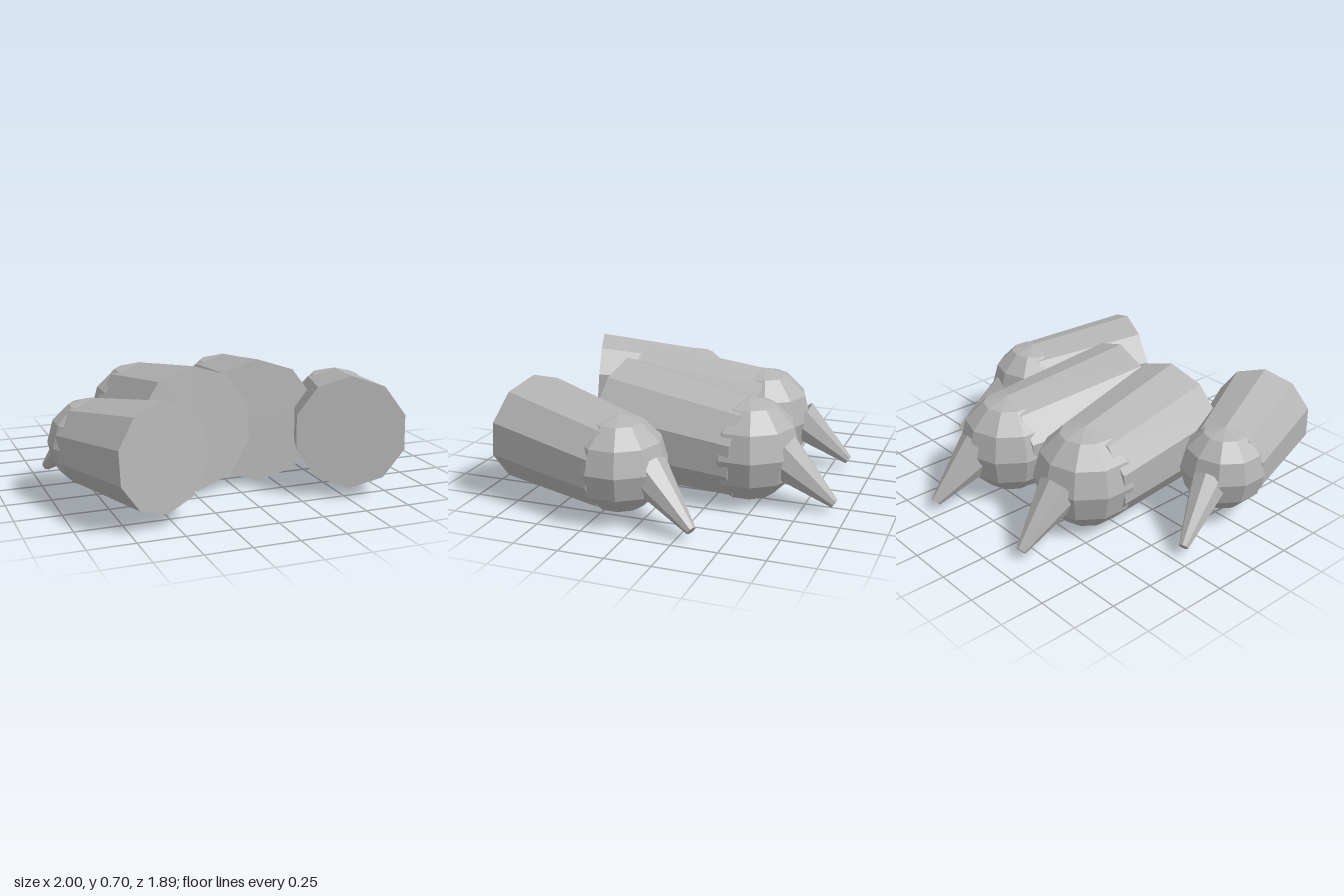
import * as THREE from 'three';

const grey = new THREE.MeshStandardMaterial({ color: 0xb4b4b4, flatShading: true });
grey.name = 'grey';

// Tapered prism running from point a to point b, with a corner pointing up
function taper(name, a, b, ra, rb, sides) {
  const from = new THREE.Vector3(...a);
  const to = new THREE.Vector3(...b);
  const geo = new THREE.CylinderGeometry(rb, ra, from.distanceTo(to), sides);
  geo.rotateX(Math.PI / 2);
  const mesh = new THREE.Mesh(geo, grey);
  mesh.name = name;
  mesh.position.copy(from).lerp(to, 0.5);
  mesh.lookAt(to);
  return mesh;
}

// Faceted ball with corners on the z axis
function ball(name, centre, r) {
  const geo = new THREE.SphereGeometry(r, 10, 6);
  geo.rotateY(Math.PI / 10);
  const mesh = new THREE.Mesh(geo, grey);
  mesh.name = name;
  mesh.position.set(...centre);
  return mesh;
}

// Each toe: flat front end, knuckle ball, claw root and tip
const toes = [
  { name: 'outerRightToe', end: [-0.555, 0.36, 0.845], endR: 0.288,
    knuckle: [-0.77, 0.31, 0.27], r: 0.242,
    root: [-0.82, 0.29, 0.11], tip: [-0.93, 0.058, -0.19], rootR: 0.105 },
  { name: 'innerRightToe', end: [-0.235, 0.36, 0.41], endR: 0.345,
    knuckle: [-0.318, 0.295, -0.335], r: 0.295,
    root: [-0.35, 0.29, -0.55], tip: [-0.385, 0.05, -0.85], rootR: 0.125 },
  { name: 'innerLeftToe', end: [0.152, 0.36, 0.37], endR: 0.345,
    knuckle: [0.255, 0.293, -0.425], r: 0.29,
    root: [0.295, 0.29, -0.61], tip: [0.31, 0.05, -0.925], rootR: 0.135 },
  { name: 'outerLeftToe', end: [0.52, 0.36, 0.765], endR: 0.305,
    knuckle: [0.745, 0.305, 0.135], r: 0.265,
    root: [0.785, 0.29, -0.04], tip: [0.915, 0.055, -0.33], rootR: 0.12 },
];

export function createModel() {
  const paw = new THREE.Group();
  paw.name = 'clawedPaw';
  for (const t of toes) {
    const toe = new THREE.Group();
    toe.name = t.name;
    toe.add(
      taper('toeSegment', t.end, t.knuckle, t.endR, t.r * 0.985, 10),
      ball('knuckle', t.knuckle, t.r),
      taper('claw', t.root, t.tip, t.rootR, 0.028, 8),
    );
    paw.add(toe);
  }
  return paw;
}
